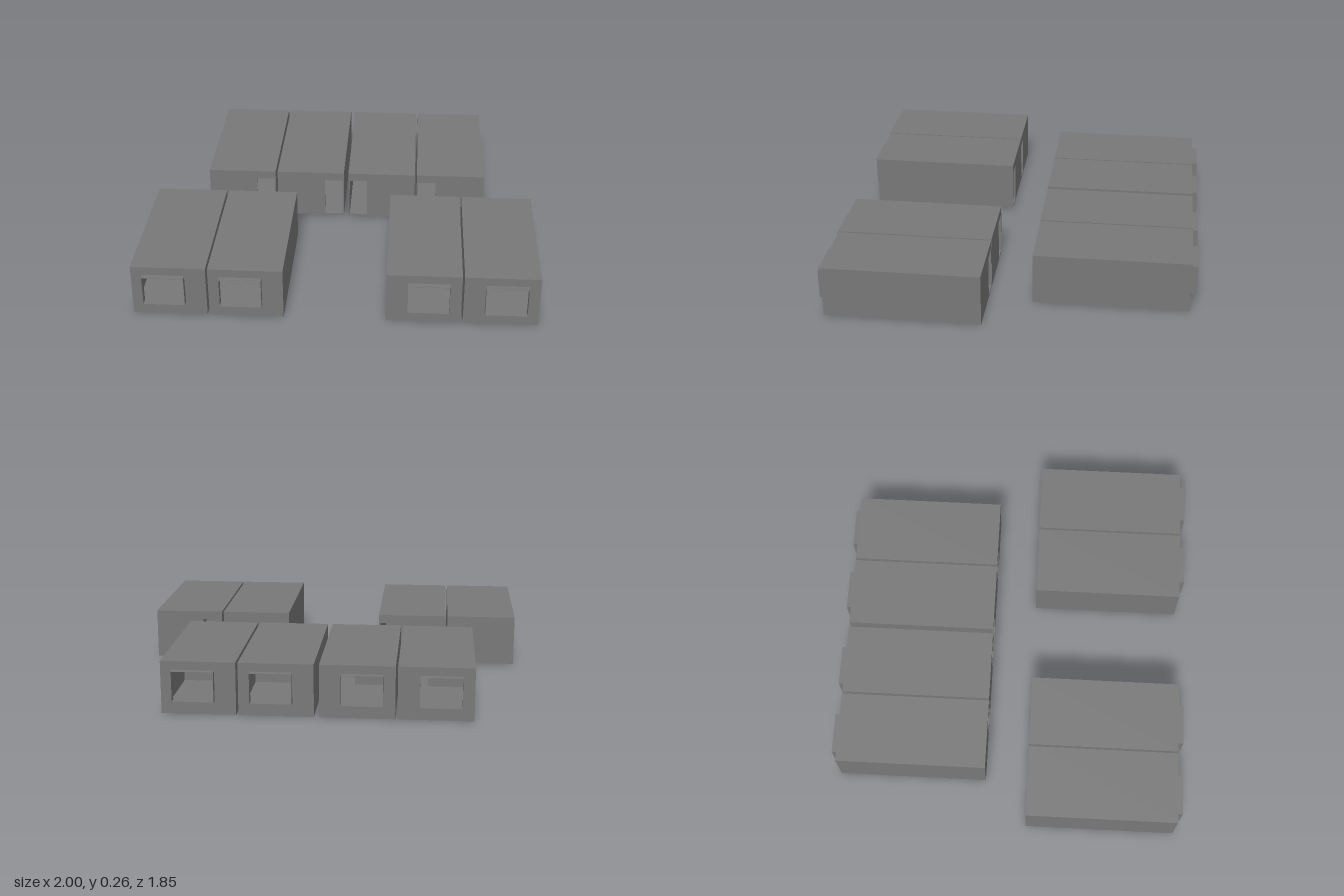
import * as THREE from 'three';

const W = 0.369, H = 0.265, D = 0.783, T = 0.008; // room size and wall thickness
const WIN = { x: 0.024, y: 0.145, w: 0.208, h: 0.154, out: 0.03, rim: 0.002 };
const material = new THREE.MeshStandardMaterial({ color: 0x787878 });

function add(group, name, geometry, x, y, z) {
  const mesh = new THREE.Mesh(geometry, material);
  mesh.name = name;
  mesh.position.set(x, y, z);
  group.add(mesh);
}

function box(group, name, w, h, d, x, y, z) {
  add(group, name, new THREE.BoxGeometry(w, h, d), x, y, z);
}

// Rectangular outline, usable as a shape or a hole
function rect(Type, x0, y0, x1, y1) {
  return new Type([[x0, y0], [x1, y0], [x1, y1], [x0, y1]].map(p => new THREE.Vector2(...p)));
}

// Plate with one rectangular opening
function pierced(outer, hole, depth) {
  const shape = rect(THREE.Shape, ...outer);
  shape.holes.push(rect(THREE.Path, ...hole));
  return new THREE.ExtrudeGeometry(shape, { depth, bevelEnabled: false });
}

// Hollow room: window at +z, door at -z; side is the sign of x the window shifts to
function createRoom(side) {
  const room = new THREE.Group();

  // Shell
  box(room, 'floor', W, T, D, 0, T / 2, 0);
  box(room, 'ceiling', W, T, D, 0, H - T / 2, 0);
  for (const s of [-1, 1])
    box(room, 'sideWall', T, H - 2 * T, D, s * (W - T) / 2, H / 2, 0);

  // Window wall with a thin projecting frame
  const wall = [-W / 2, T, W / 2, H - T];
  const wx = side * WIN.x, f = WIN.rim;
  const frame = [wx - WIN.w / 2, WIN.y - WIN.h / 2, wx + WIN.w / 2, WIN.y + WIN.h / 2];
  const opening = [frame[0] + f, frame[1] + f, frame[2] - f, frame[3] - f];
  add(room, 'windowWall', pierced(wall, frame, T), 0, 0, D / 2 - T);
  add(room, 'windowFrame', pierced(frame, opening, WIN.out + T), 0, 0, D / 2 - T);

  // Door wall, opening next to the inner side wall
  const edges = [-side * (W / 2 - 0.105), -side * (W / 2 - T)].sort((a, b) => a - b);
  const doorWall = pierced(wall, [edges[0], T + 0.001, edges[1], 0.22], T);
  add(room, 'doorWall', doorWall, 0, 0, -D / 2);

  // Inner block beside the entrance passage
  const bw = W - 0.14 - T, bd = 0.25;
  box(room, 'innerPartition', bw, H - 2 * T, bd,
    side * (W / 2 - T - bw / 2), H / 2, -D / 2 + T + bd / 2);
  return room;
}

export function createModel() {
  const model = new THREE.Group();
  model.name = 'roomCluster';
  const z = 0.112 + D / 2;
  const rows = [
    { name: 'frontRoom', dir: 1, centres: [0.4365, 0.8155] },
    { name: 'backRoom', dir: -1, centres: [0.197, 0.577] },
  ];
  for (const { name, dir, centres } of rows)
    for (const s of [-1, 1])
      for (const x of centres) {
        const room = createRoom(s * dir);
        room.name = name;
        room.position.set(s * x, 0, dir * z);
        room.rotation.y = dir > 0 ? 0 : Math.PI;
        model.add(room);
      }
  return model;
}
